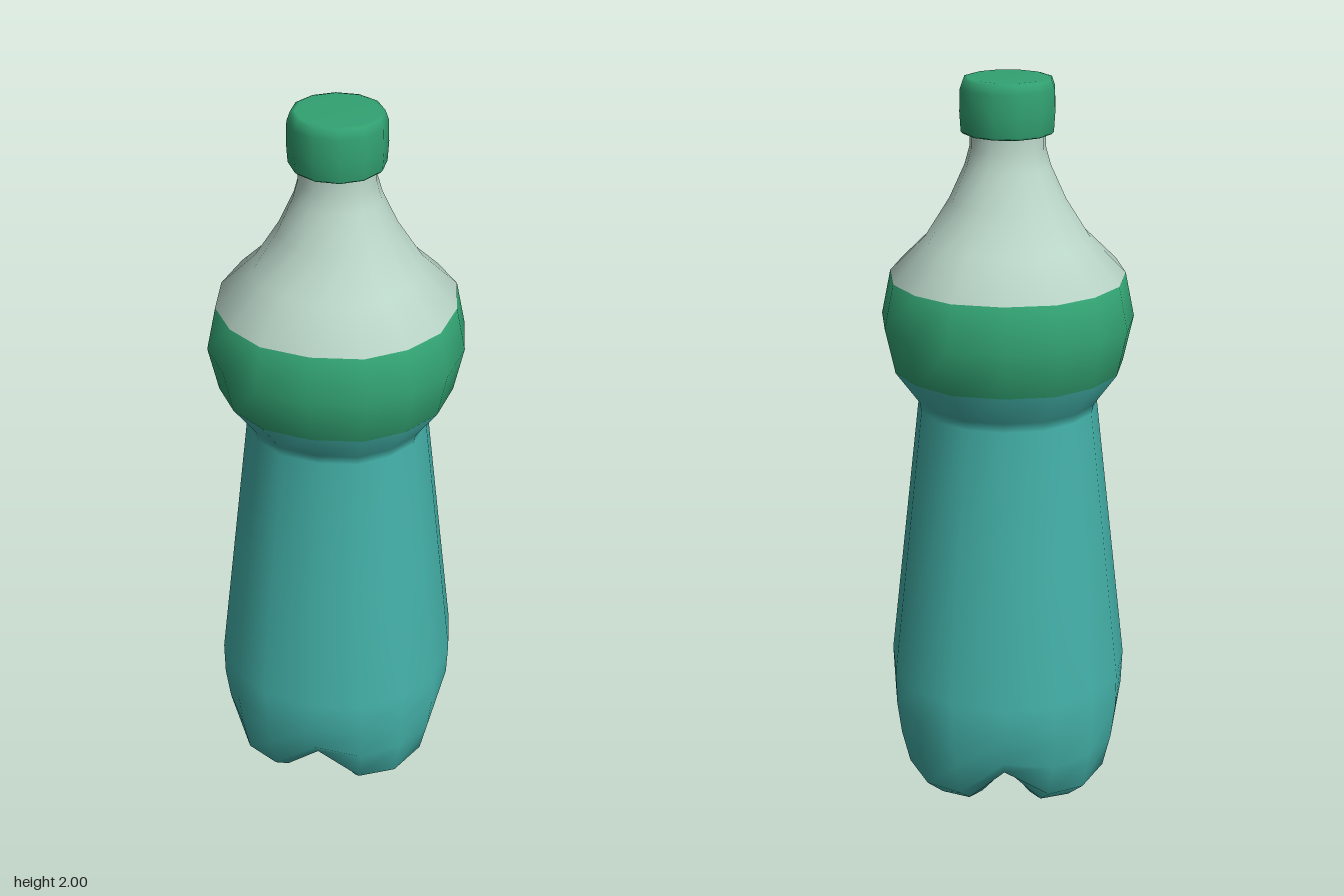
import * as THREE from 'three';

const mat = (name, color) => {
  const m = new THREE.MeshStandardMaterial({ color });
  m.name = name;
  return m;
};

// 16-sided section: slightly squared, with four feet on the axes
const ANGLES = [0, 20.8, 45, 69.2];
const SQUARE = [1, 1, 0.977, 1];
const VALLEY = [0, 0.15, 1, 0.15];
const SIDES = 16;

// [radius, y] on a foot, then [radius, y] in the groove between feet
const BASE = [
  [0, 0.07, 0, 0.07],
  [0.08, 0.045, 0.09, 0.085],
  [0.165, 0.005, 0.15, 0.105],
  [0.25, 0.035, 0.2, 0.125],
  [0.305, 0.09, 0.265, 0.16],
  [0.325, 0.2, 0.3, 0.21],
  [0.333, 0.3, 0.33, 0.3],
];
// Plain rings above the feet: [radius, y]
const SIDE = [
  [0.333, 0.4], [0.287, 0.78], [0.241, 1.16], [0.245, 1.185], [0.308, 1.275],
  [0.333, 1.395], [0.308, 1.51],
  [0.215, 1.6], [0.15, 1.7], [0.11, 1.785], [0.097, 1.83], [0.097, 1.88],
];

function bottleGeometry() {
  const rings = [...BASE, ...SIDE.map(([r, y]) => [r, y, r, y])];
  const pos = [], index = [];
  for (const [r0, y0, r1, y1] of rings) {
    for (let i = 0; i < SIDES; i++) {
      const k = i % 4, w = VALLEY[k];
      const a = THREE.MathUtils.degToRad(ANGLES[k] + 90 * Math.floor(i / 4));
      const r = THREE.MathUtils.lerp(r0, r1, w) * SQUARE[k];
      pos.push(Math.sin(a) * r, THREE.MathUtils.lerp(y0, y1, w), Math.cos(a) * r);
    }
  }
  const geo = new THREE.BufferGeometry();
  // One colour zone for each stretch of rings
  let start = 0;
  const bands = [1.275, 1.51, 9];
  let zone = 0;
  for (let j = 0; j < rings.length - 1; j++) {
    if (rings[j][1] >= bands[zone]) {
      geo.addGroup(start, index.length - start, zone++);
      start = index.length;
    }
    for (let i = 0; i < SIDES; i++) {
      const n = (i + 1) % SIDES;
      const a = j * SIDES + i, b = j * SIDES + n, c = b + SIDES, d = a + SIDES;
      if (j > 0) index.push(a, b, c);
      index.push(a, c, d);
    }
  }
  geo.addGroup(start, index.length - start, zone);
  geo.setIndex(index);
  geo.setAttribute('position', new THREE.Float32BufferAttribute(pos, 3));
  geo.computeVertexNormals();
  return geo;
}

export function createModel() {
  const teal = mat('teal plastic', 0x43b0a8);
  const green = mat('green plastic', 0x32a272);
  const pale = mat('pale green plastic', 0xbad6c8);

  const model = new THREE.Group();
  model.name = 'bottle';

  // Body with teal lower part, green band and pale shoulder
  const body = new THREE.Mesh(bottleGeometry(), [teal, green, pale]);
  body.name = 'bottleBody';
  model.add(body);

  // Screw cap
  const profile = [
    [0, 1.866], [0.112, 1.866], [0.118, 1.872], [0.121, 1.92],
    [0.119, 1.975], [0.111, 1.997], [0.1, 2], [0, 2],
  ].map(([r, y]) => new THREE.Vector2(r, y));
  const cap = new THREE.Mesh(new THREE.LatheGeometry(profile, 12), green);
  cap.name = 'cap';
  model.add(cap);

  return model;
}
